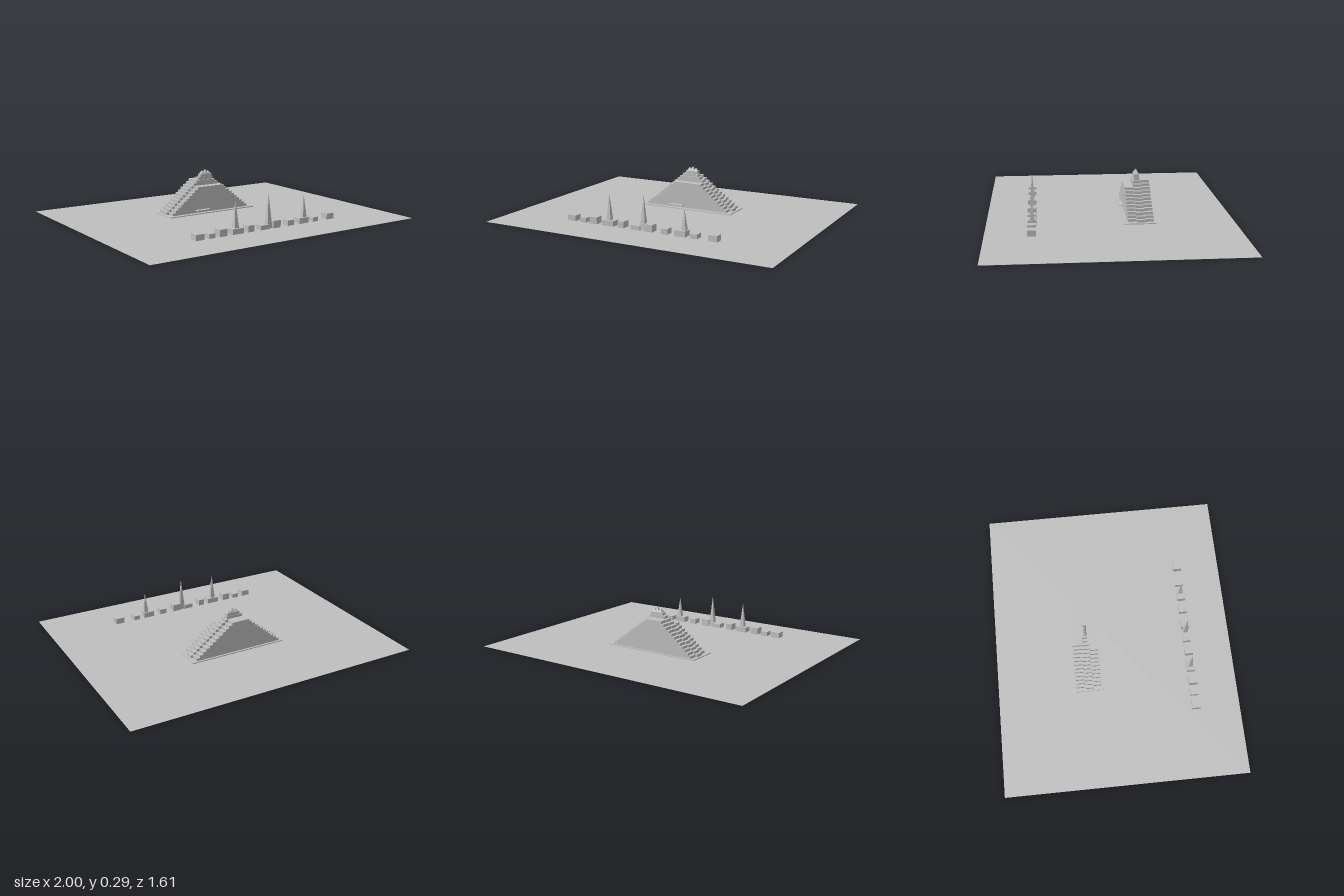
import * as THREE from 'three';

export function createModel() {
  const model = new THREE.Group();
  const stone = new THREE.MeshStandardMaterial({ color: 0xbfbfbf });
  stone.name = 'pale grey';
  stone.flatShading = true;

  function add(parent, name, geometry) {
    const mesh = new THREE.Mesh(geometry, stone);
    mesh.name = name;
    parent.add(mesh);
    return mesh;
  }

  // Box given by its limits on each axis
  function block(parent, name, x0, x1, y0, y1, z0, z1) {
    const mesh = add(parent, name, new THREE.BoxGeometry(x1 - x0, y1 - y0, z1 - z0));
    mesh.position.set((x0 + x1) / 2, (y0 + y1) / 2, (z0 + z1) / 2);
  }

  // Square pyramid aligned with the axes
  function spire(parent, name, x, z, y0, y1, half) {
    const geometry = new THREE.ConeGeometry(half * Math.SQRT2, y1 - y0, 4);
    geometry.rotateY(Math.PI / 4);
    add(parent, name, geometry).position.set(x, (y0 + y1) / 2, z);
  }

  function group(name) {
    const g = new THREE.Group();
    g.name = name;
    model.add(g);
    return g;
  }

  // Ground sheet
  block(model, 'ground', -1, 1, 0, 0.001, -0.805, 0.805);

  // Terraced building: three slabs whose floors shrink as they rise
  const building = group('terracedBuilding');
  block(building, 'basePlate', -0.342, 0.337, 0.003, 0.009, -0.29, -0.08);
  const base = 0.009, floorHeight = 0.0176;
  const slabs = [
    { name: 'backFloor', floors: 12, bottom: [-0.315, 0.305], top: [-0.083, 0.045], z: [-0.277, -0.22] },
    { name: 'middleFloor', floors: 12, bottom: [-0.326, 0.32], top: [-0.085, 0.065], z: [-0.22, -0.165] },
    { name: 'frontFloor', floors: 10, bottom: [-0.31, 0.297], top: [-0.112, 0.1], z: [-0.165, -0.109] },
  ];
  for (const { name, floors, bottom, top, z } of slabs) {
    for (let i = 0; i < floors; i++) {
      const t = i / (floors - 1);
      block(building, name,
        THREE.MathUtils.lerp(bottom[0], top[0], t), THREE.MathUtils.lerp(bottom[1], top[1], t),
        base + i * floorHeight, base + (i + 1) * floorHeight, z[0], z[1]);
    }
  }

  // Entrance canopy
  block(building, 'canopy', -0.132, -0.025, 0.025, 0.03, -0.115, -0.08);

  // Roof crown with three points
  block(building, 'crownLower', -0.066, 0.05, 0.22, 0.239, -0.213, -0.174);
  block(building, 'crownUpper', -0.047, 0.043, 0.239, 0.258, -0.21, -0.176);
  for (const [x, y] of [[-0.023, 0.284], [0.001, 0.292], [0.025, 0.28]]) {
    spire(building, 'crownPoint', x, -0.193, 0.258, y, 0.016);
  }

  // Row of low houses: left limit, right limit, roof height
  const town = group('houseRow');
  const houses = [
    [-0.54, -0.48, 0.045], [-0.445, -0.4, 0.037], [-0.37, -0.315, 0.053],
    [-0.275, -0.19, 0.043], [-0.157, -0.112, 0.05], [-0.06, 0.005, 0.037],
    [0.037, 0.095, 0.055], [0.153, 0.202, 0.043], [0.25, 0.325, 0.045],
    [0.36, 0.405, 0.037], [0.48, 0.54, 0.047],
  ];
  for (const [x0, x1, y] of houses) block(town, 'house', x0, x1, 0.008, y, 0.482, 0.538);

  // Tall spires among the houses
  for (const [x, y] of [[-0.235, 0.215], [0.018, 0.232], [0.305, 0.182]]) {
    spire(town, 'spire', x, 0.508, 0.008, y, 0.019);
  }

  return model;
}
